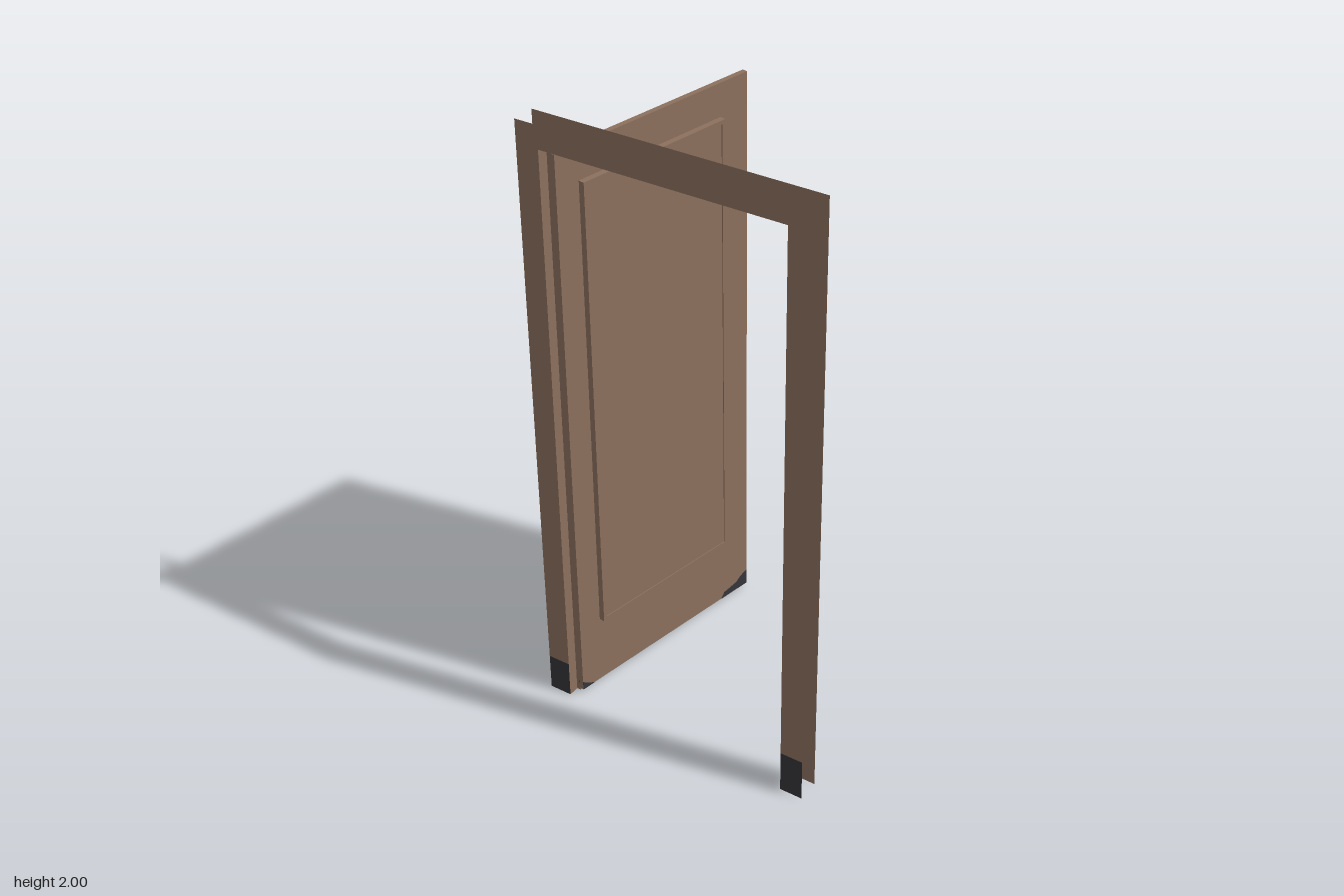
import * as THREE from 'three';

export function createModel() {
  const wood = new THREE.MeshStandardMaterial({ color: 0x8c705d, side: THREE.DoubleSide });
  wood.name = 'brown wood';
  const dark = new THREE.MeshStandardMaterial({ color: 0x36363b, side: THREE.DoubleSide });
  dark.name = 'dark kick patch';

  const model = new THREE.Group();
  model.name = 'openDoor';

  const add = (parent, name, geometry, material, x = 0, y = 0, z = 0) => {
    const mesh = new THREE.Mesh(geometry, material);
    mesh.name = name;
    mesh.position.set(x, y, z);
    parent.add(mesh);
    return mesh;
  };
  const shapeOf = (pts) => new THREE.Shape(pts.map(([x, y]) => new THREE.Vector2(x, y)));

  // Flat upside-down U; the legs may start above the floor
  const archSheet = (outX, outY, inX, inY, leftFoot = 0, rightFoot = 0) =>
    new THREE.ShapeGeometry(shapeOf([
      [-outX, leftFoot], [-outX, outY], [outX, outY], [outX, rightFoot],
      [inX, rightFoot], [inX, inY], [-inX, inY], [-inX, leftFoot],
    ]));

  // Door frame: thin casings on both wall faces with a stepped lining between
  const frame = new THREE.Group();
  frame.name = 'doorFrame';
  model.add(frame);
  const OUT = 0.474, TOP = 2, IN = 0.398, IN_TOP = 1.927, STOP = 0.384, STOP_TOP = 1.912;
  const FRONT = 0.396, STEP = 0.36, BACK = 0.321;

  add(frame, 'frontCasing', archSheet(OUT, TOP, IN, IN_TOP, 0.125, 0.145), wood, 0, 0, FRONT);
  add(frame, 'stopFace', archSheet(IN, IN_TOP, STOP, STOP_TOP), wood, 0, 0, STEP);
  add(frame, 'backCasing', archSheet(OUT, TOP, STOP, STOP_TOP), wood, 0, 0, BACK);

  // Dark feet of the front casing
  for (const [side, h] of [[-1, 0.125], [1, 0.145]]) {
    add(frame, 'casingFoot', new THREE.PlaneGeometry(OUT - IN, h), dark,
      side * (OUT + IN) / 2, h / 2, FRONT);
  }

  // Lining: two side faces and a head face at each depth
  const lining = (name, x, top, sideTop, z0, z1) => {
    const depth = z1 - z0, z = (z0 + z1) / 2;
    for (const side of [-1, 1]) {
      const jamb = new THREE.PlaneGeometry(depth, sideTop).rotateY(-side * Math.PI / 2);
      add(frame, name + 'Jamb', jamb, wood, side * x, sideTop / 2, z);
    }
    const head = new THREE.PlaneGeometry(2 * x, depth).rotateX(Math.PI / 2);
    add(frame, name + 'Head', head, wood, 0, top, z);
  };
  lining('outer', IN, IN_TOP, IN_TOP, STEP, FRONT);
  lining('stop', STOP, STOP_TOP, IN_TOP, BACK, STEP);

  // Door leaf, swung open 80 degrees: local x runs from hinge to free edge
  const leaf = new THREE.Group();
  leaf.name = 'doorLeaf';
  leaf.position.set(-0.388, 0, 0.36);
  leaf.rotation.y = THREE.MathUtils.degToRad(80);
  model.add(leaf);
  const W = 0.768, T = 0.018, Y0 = 0.01, Y1 = 1.905;
  add(leaf, 'slab', new THREE.BoxGeometry(W, Y1 - Y0, T), wood, W / 2, (Y0 + Y1) / 2, T / 2);

  // Raised panel on each side: a narrow moulding around a slightly sunk field
  const X0 = 0.085, X1 = 0.653, P0 = 0.25, P1 = 1.797, RIM = 0.013, SINK = 0.003;
  const rect = (m) => [[X0 + m, P0 + m], [X1 - m, P0 + m], [X1 - m, P1 - m], [X0 + m, P1 - m]];
  const raisedPanel = (name, z0, height, sign) => {
    const ring = shapeOf(rect(0));
    ring.holes.push(shapeOf(rect(RIM)));
    add(leaf, name + 'Moulding', new THREE.ExtrudeGeometry(ring, { depth: height, bevelEnabled: false }),
      wood, 0, 0, sign > 0 ? z0 : z0 - height);
    const h = height - SINK;
    add(leaf, name + 'Field', new THREE.BoxGeometry(X1 - X0 - 2 * RIM, P1 - P0 - 2 * RIM, h), wood,
      (X0 + X1) / 2, (P0 + P1) / 2, z0 + sign * h / 2);
  };
  raisedPanel('innerPanel', T, 0.02, 1);
  raisedPanel('outerPanel', 0, 0.012, -1);

  // Dark scuffs at the bottom corners of the leaf, on both faces
  const scuffs = [
    [[W - 0.125, Y0], [W, Y0], [W, 0.065], [W - 0.03, 0.055], [W - 0.05, 0.04], [W - 0.11, 0.03]],
    [[0, Y0], [0.05, Y0], [0.03, 0.02], [0, 0.04]],
  ];
  for (const pts of scuffs) {
    const plate = new THREE.ExtrudeGeometry(shapeOf(pts), { depth: T + 0.002, bevelEnabled: false });
    add(leaf, 'cornerScuff', plate, dark, 0, 0, -0.001);
  }

  return model;
}
